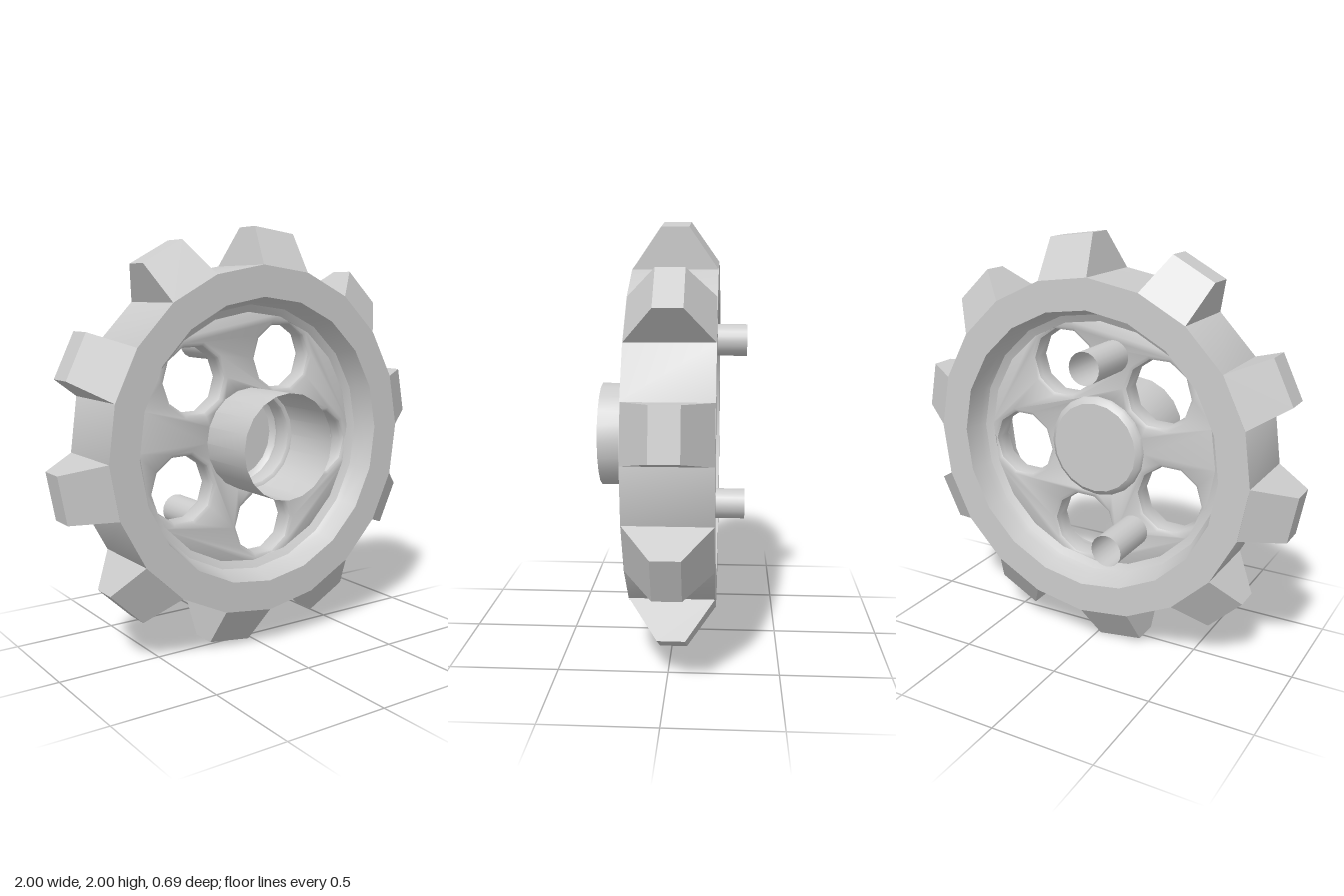
import * as THREE from 'three';
import { toCreasedNormals } from 'three/addons/utils/BufferGeometryUtils.js';

const rad = THREE.MathUtils.degToRad;
const SIDES = 20, TEETH = 10, HOLES = 5;
const TOOTH_ANGLE = 10.5, HOLE_ANGLE = -7.5;
const FRONT = 0.175, BACK = -0.21, WEB_FRONT = 0.04, WEB_BACK = -0.075;

const grey = new THREE.MeshStandardMaterial({ color: 0xcccccc });
const greyOpen = new THREE.MeshStandardMaterial({ color: 0xcccccc, side: THREE.DoubleSide });

// Revolves [radius, z] points about the z axis
function turned(points, segments, startDeg) {
  const profile = points.map(([r, z]) => new THREE.Vector2(r, z));
  const geo = new THREE.LatheGeometry(profile, segments, rad(startDeg + 90));
  geo.rotateX(Math.PI / 2);
  return toCreasedNormals(geo, rad(30));
}

function polygon(PathType, cx, cy, radius, sides, startDeg) {
  const pts = [];
  for (let i = 0; i < sides; i++) {
    const a = rad(startDeg) + (i / sides) * Math.PI * 2;
    pts.push(new THREE.Vector2(cx + radius * Math.cos(a), cy + radius * Math.sin(a)));
  }
  return new PathType(pts);
}

// Tooth: a box pointing along +y, narrowed towards its tip
function toothGeometry() {
  const geo = new THREE.BoxGeometry(2, 2, 2);
  const p = geo.attributes.position;
  for (let i = 0; i < p.count; i++) {
    const tip = p.getY(i) > 0, front = p.getZ(i) > 0;
    p.setXYZ(i,
      p.getX(i) * (tip ? 0.1125 : 0.128),
      tip ? 0.994 : 0.808,
      tip ? (front ? 0.045 : -0.08) : (front ? FRONT : BACK));
  }
  return toCreasedNormals(geo, 0.1);
}

export function createModel() {
  const wheel = new THREE.Group();
  wheel.name = 'gearWheel';
  wheel.position.y = 1;

  const add = (name, geo, material = grey) => {
    const mesh = new THREE.Mesh(geo, material);
    mesh.name = name;
    wheel.add(mesh);
    return mesh;
  };

  // Rim, with sloping inner walls running down to the web
  add('rim', turned([
    [0.82, BACK], [0.82, FRONT], [0.675, FRONT], [0.655, 0.09], [0.64, 0.06], [0.605, WEB_FRONT],
    [0.605, WEB_BACK], [0.64, -0.095], [0.655, -0.125], [0.675, BACK], [0.82, BACK],
  ], SIDES, TOOTH_ANGLE + 9));

  // Teeth sit on every second face of the rim
  const toothGeo = toothGeometry();
  for (let i = 0; i < TEETH; i++) {
    add('tooth', toothGeo).rotation.z = rad(TOOTH_ANGLE + i * 360 / TEETH - 90);
  }

  // Web with lightening holes, their edges bevelled
  const web = polygon(THREE.Shape, 0, 0, 0.62, SIDES, TOOTH_ANGLE + 9);
  web.holes.push(polygon(THREE.Path, 0, 0, 0.244, SIDES, 0));
  for (let i = 0; i < HOLES; i++) {
    const deg = HOLE_ANGLE + i * 360 / HOLES, a = rad(deg);
    web.holes.push(polygon(THREE.Path, 0.43 * Math.cos(a), 0.43 * Math.sin(a), 0.18, 10, deg + 9));
  }
  const bevel = 0.03;
  const webGeo = new THREE.ExtrudeGeometry(web, {
    depth: WEB_FRONT - WEB_BACK - 2 * bevel,
    bevelThickness: bevel, bevelSize: 0.02, bevelSegments: 2,
  });
  webGeo.translate(0, 0, WEB_BACK + bevel);
  add('web', toCreasedNormals(webGeo, rad(40)));

  // Hub: a tube open at the front, closed by a bevelled cap at the back
  add('hub', turned([
    [0, -0.108], [0.218, -0.108], [0.24, -0.09], [0.247, WEB_BACK], [0.247, 0.345],
  ], SIDES, 0), greyOpen);

  // Two open pins on the back, between the holes
  const pinGeo = new THREE.CylinderGeometry(0.076, 0.076, 0.285, 20, 1, true);
  pinGeo.rotateX(Math.PI / 2);
  for (const [x, y] of [[-0.085, 0.448], [-0.195, -0.395]]) {
    add('pin', pinGeo, greyOpen).position.set(x, y, -0.2025);
  }

  const model = new THREE.Group();
  model.name = 'model';
  model.add(wheel);
  return model;
}
